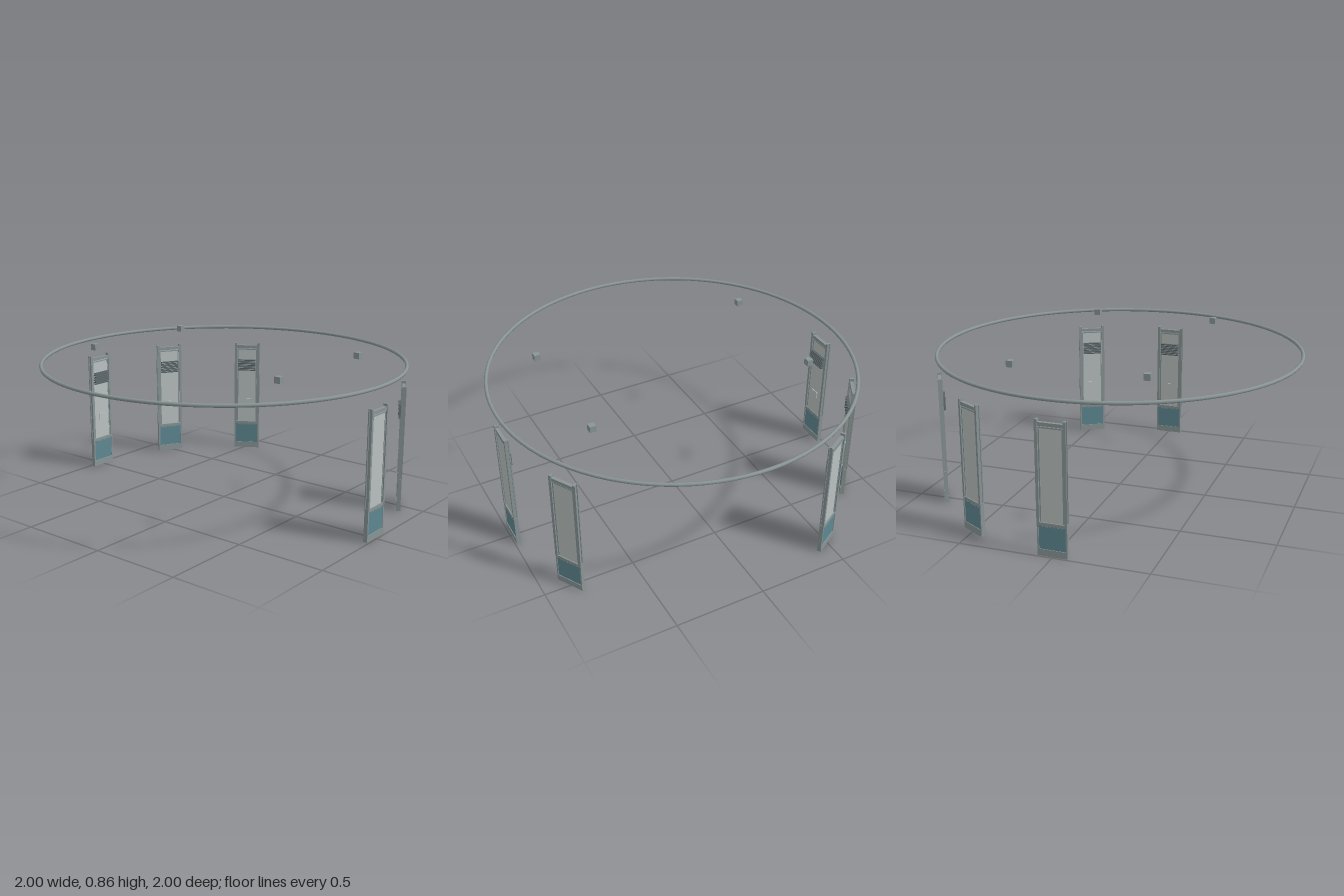
import * as THREE from 'three';

const mat = (name, color) => {
  const m = new THREE.MeshStandardMaterial({ color });
  m.name = name;
  return m;
};

export function createModel() {
  const model = new THREE.Group();
  model.name = 'panelRing';
  const frame = mat('frame grey', 0x8a9596);
  const infill = mat('pale panel grey', 0xb9c1c0);
  const teal = mat('teal', 0x5e8891);
  const dark = mat('vent grey', 0x596365);

  // Box given by its centre and size
  const box = (parent, name, material, [w, h, d], [x, y, z]) => {
    const mesh = new THREE.Mesh(new THREE.BoxGeometry(w, h, d), material);
    mesh.name = name;
    mesh.position.set(x, y, z);
    parent.add(mesh);
  };

  // Upright panel: local +z points out of the ring, -z into it
  const makePanel = () => {
    const g = new THREE.Group();
    g.name = 'panel';
    box(g, 'infill', infill, [0.146, 0.51, 0.01], [0, 0.42, -0.001]);
    box(g, 'kickPlate', teal, [0.142, 0.13, 0.016], [0, 0.098, 0]);
    box(g, 'sill', frame, [0.158, 0.036, 0.023], [0, 0.018, 0]);
    box(g, 'midRail', frame, [0.142, 0.016, 0.02], [0, 0.168, 0]);
    box(g, 'topRail', frame, [0.142, 0.018, 0.018], [0, 0.675, 0]);
    box(g, 'topTrim', frame, [0.118, 0.007, 0.013], [0, 0.658, 0]);

    for (const s of [-1, 1]) {
      // Grooved channel posts above, plain posts beside the kick plate
      box(g, 'postWeb', frame, [0.01, 0.52, 0.022], [s * 0.07, 0.438, 0]);
      for (const z of [-0.009, 0.009])
        box(g, 'postFlange', frame, [0.015, 0.52, 0.006], [s * 0.0725, 0.438, z]);
      box(g, 'lowerPost', frame, [0.009, 0.145, 0.022], [s * 0.0745, 0.108, 0]);
      box(g, 'sideTrim', frame, [0.007, 0.48, 0.013], [s * 0.0605, 0.418, 0]);
    }

    // Row of clips along the top of the kick plate
    for (let i = 0; i < 6; i++)
      box(g, 'clip', frame, [0.01, 0.006, 0.02], [-0.05 + i * 0.02, 0.157, 0]);

    // Vent slats and a latch plate on the inner face
    for (let i = 0; i < 7; i++)
      box(g, 'ventSlat', dark, [0.112, 0.0055, 0.017], [0, 0.523 + i * 0.0108, -0.0145]);
    box(g, 'latchPlate', infill, [0.05, 0.038, 0.008], [0, 0.31, -0.007]);
    return g;
  };

  // Five panels around the ring
  for (const deg of [0, 30, 120, 150, 180]) {
    const a = THREE.MathUtils.degToRad(deg);
    const p = makePanel();
    p.position.set(Math.sin(a) * 0.98, 0, Math.cos(a) * 0.98);
    p.rotation.y = a;
    model.add(p);
  }

  // Overhead ring
  const ring = new THREE.Mesh(new THREE.TorusGeometry(0.99, 0.01, 8, 96), frame);
  ring.name = 'overheadRing';
  ring.rotation.x = Math.PI / 2;
  ring.position.y = 0.8;
  model.add(ring);

  // Four small blocks inside the ring
  for (const x of [-0.362, 0.362])
    for (const z of [-0.632, 0.632])
      box(model, 'block', frame, [0.034, 0.034, 0.034], [x, 0.847, z]);

  return model;
}
